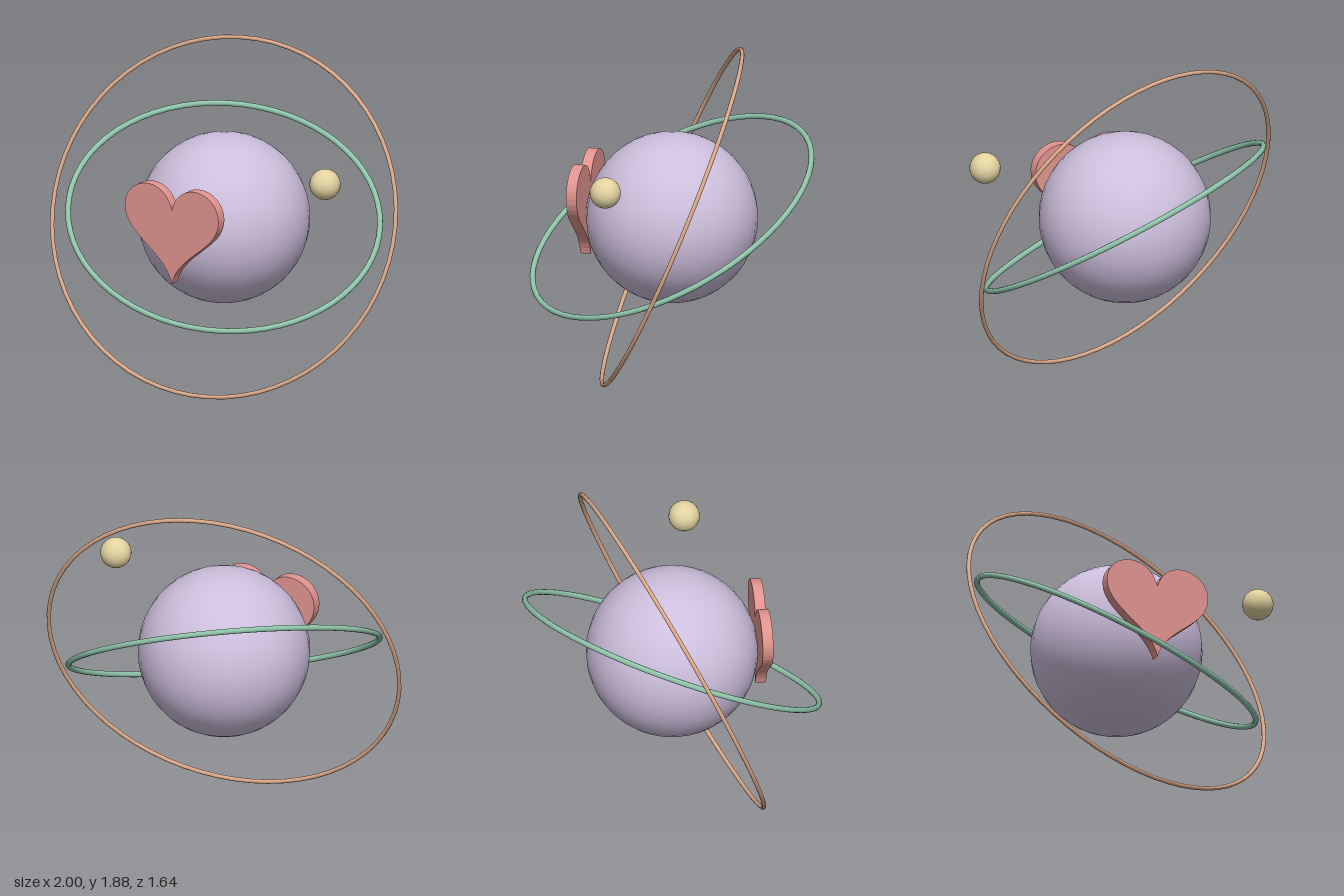
import * as THREE from 'three';

const CENTER_Y = 0.944;

function part(name, geometry, color) {
  const mesh = new THREE.Mesh(geometry, new THREE.MeshStandardMaterial({ color }));
  mesh.name = name;
  return mesh;
}

// Thin ring around the globe, tilted so its axis follows the given direction
function orbitRing(name, radius, tube, axis, color) {
  const ring = part(name, new THREE.TorusGeometry(radius, tube, 10, 64), color);
  ring.position.y = CENTER_Y;
  ring.quaternion.setFromUnitVectors(new THREE.Vector3(0, 0, 1), axis.normalize());
  return ring;
}

// Heart outline: right half down to the tip, then the left half back up
function heartShape() {
  const s = new THREE.Shape();
  s.moveTo(0, 1.118);
  s.bezierCurveTo(-0.02, 1.2, -0.08, 1.25, -0.155, 1.25);
  s.bezierCurveTo(-0.24, 1.25, -0.312, 1.19, -0.312, 1.1);
  s.bezierCurveTo(-0.312, 0.93, -0.04, 0.87, 0, 0.69);
  s.bezierCurveTo(0.04, 0.87, 0.312, 0.93, 0.312, 1.1);
  s.bezierCurveTo(0.312, 1.19, 0.24, 1.25, 0.155, 1.25);
  s.bezierCurveTo(0.08, 1.25, 0.02, 1.2, 0, 1.118);
  return s;
}

export function createModel() {
  const model = new THREE.Group();
  model.name = 'heartPlanet';

  // Central globe
  const globe = part('globe', new THREE.SphereGeometry(0.48, 32, 24), 0xcdbfdd);
  globe.position.y = CENTER_Y;
  model.add(globe);

  // Two tilted orbit rings
  model.add(orbitRing('innerRing', 0.87, 0.016, new THREE.Vector3(0.316, 0.868, 0.383), 0x8fc4aa));
  model.add(orbitRing('outerRing', 1.01, 0.012, new THREE.Vector3(0.211, 0.386, 0.898), 0xdba888));

  // Flat heart badge on the front of the globe
  const heartGeometry = new THREE.ExtrudeGeometry(heartShape(), {
    depth: 0.06, bevelEnabled: false, curveSegments: 14,
  });
  const heart = part('heart', heartGeometry, 0xe0938f);
  heart.position.z = 0.468;
  model.add(heart);

  // Small moon
  const moon = part('moon', new THREE.SphereGeometry(0.087, 24, 16), 0xe3d3a0);
  moon.position.set(0.79, 1.315, 0.175);
  model.add(moon);

  return model;
}
